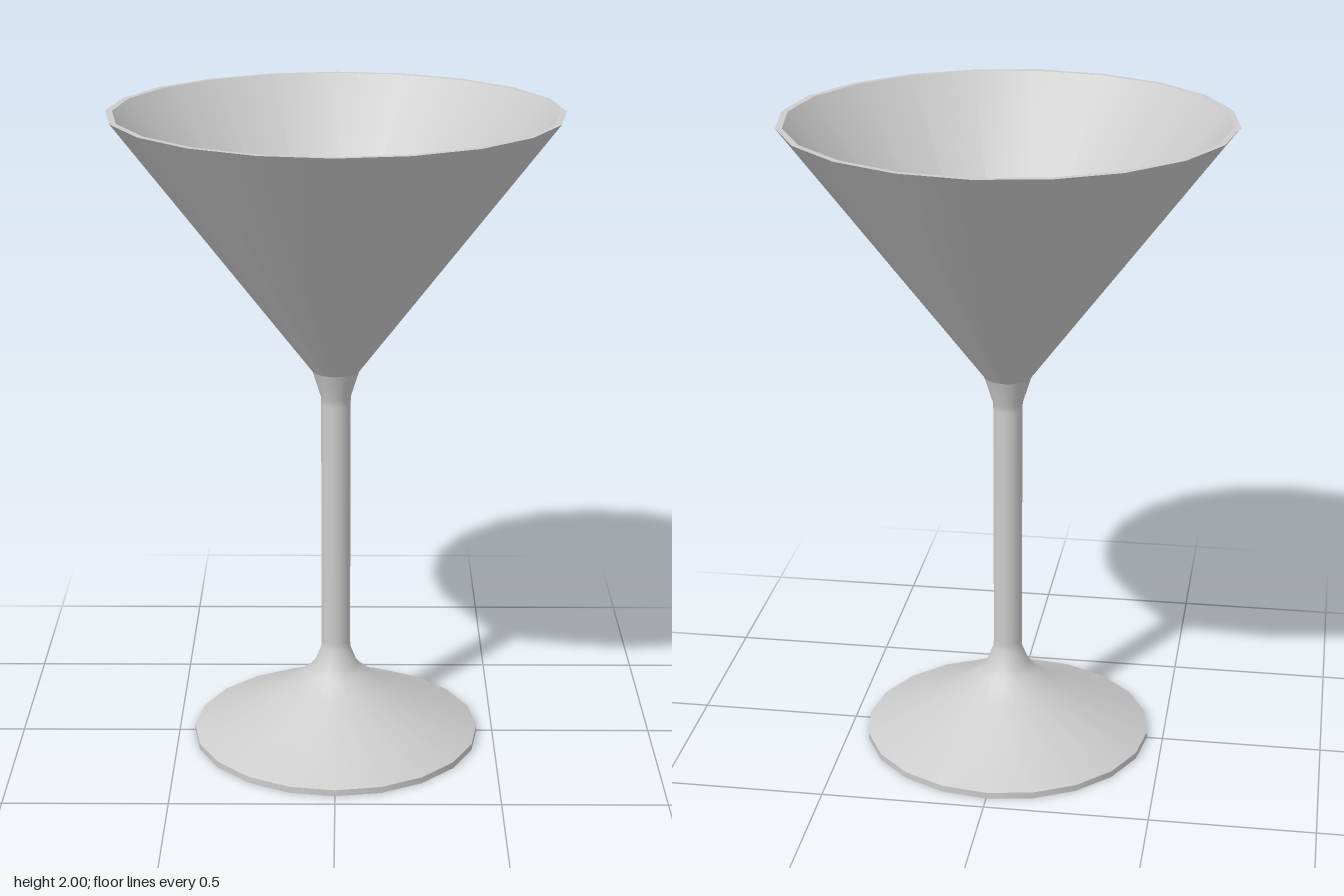
import * as THREE from 'three';

const SIDES = 20;

export function createModel() {
  const group = new THREE.Group();
  const material = new THREE.MeshStandardMaterial({ color: 0xcccccc });

  // Each part is a turned profile of [radius, height] points; separate parts keep edges crisp
  const turn = (name, profile) => {
    const points = profile.map(([r, y]) => new THREE.Vector2(r, y));
    const mesh = new THREE.Mesh(new THREE.LatheGeometry(points, SIDES), material);
    mesh.name = name;
    group.add(mesh);
  };

  // Foot: flat underside and thin vertical edge
  turn('footUnderside', [[0, 0], [0.45, 0]]);
  turn('footEdge', [[0.45, 0], [0.45, 0.02]]);

  // Sloping foot flowing into the stem and its flare below the bowl
  turn('footAndStem', [
    [0.45, 0.02], [0.165, 0.155], [0.09, 0.217], [0.068, 0.24], [0.046, 0.295],
    [0.045, 0.32], [0.045, 1.1], [0.046, 1.125], [0.072, 1.207],
  ]);

  // Conical bowl: outer wall, rim, and inside with a small flat bottom
  turn('bowlOuter', [[0.072, 1.207], [0.675, 2]]);
  turn('bowlRim', [[0.675, 2], [0.655, 2]]);
  turn('bowlInner', [[0.655, 2], [0.045, 1.2], [0.03, 1.192], [0, 1.19]]);

  return group;
}
